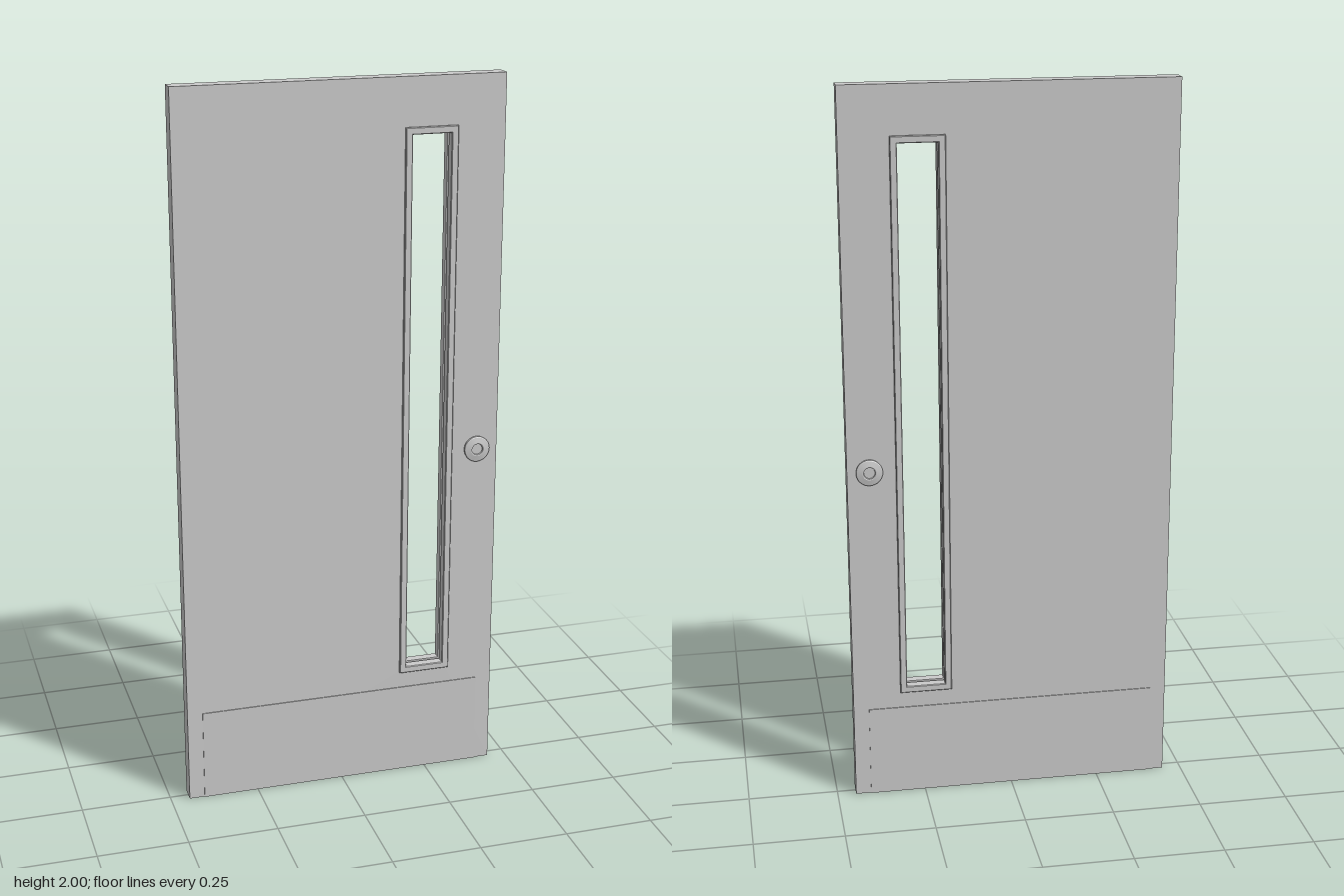
import * as THREE from 'three';

const material = new THREE.MeshStandardMaterial({ color: 0xcccccc });

// Outline of a rectangle from its edges, as a Shape or a Path
function rect(Kind, x0, x1, y0, y1) {
  const p = new Kind();
  p.moveTo(x0, y0);
  p.lineTo(x1, y0);
  p.lineTo(x1, y1);
  p.lineTo(x0, y1);
  p.closePath();
  return p;
}

function addMesh(parent, name, geometry) {
  const mesh = new THREE.Mesh(geometry, material);
  mesh.name = name;
  parent.add(mesh);
  return mesh;
}

export function createModel() {
  const door = new THREE.Group();
  door.name = 'door';
  const slabHalf = 0.023;

  // Slab with a tall, narrow cut-out for the window
  const slab = rect(THREE.Shape, -0.448, 0.448, 0, 2);
  slab.holes.push(rect(THREE.Path, 0.182, 0.305, 0.32, 1.858));
  const slabGeo = new THREE.ExtrudeGeometry(slab, { depth: slabHalf * 2, bevelEnabled: false });
  slabGeo.translate(0, 0, -slabHalf);
  addMesh(door, 'slab', slabGeo);

  // The same fittings on both faces
  for (const side of [1, -1]) {
    const face = side > 0 ? 'front' : 'back';

    // Window trim: flat surround plus a lining that enters the cut-out
    const surround = rect(THREE.Shape, 0.173, 0.314, 0.311, 1.867);
    surround.holes.push(rect(THREE.Path, 0.188, 0.299, 0.326, 1.852));
    const surroundGeo = new THREE.ExtrudeGeometry(surround, {
      depth: 0.006, bevelEnabled: true, bevelThickness: 0.002, bevelSize: 0.002, bevelSegments: 1,
    });
    surroundGeo.translate(0, 0, side > 0 ? slabHalf : -slabHalf - 0.006);
    addMesh(door, face + 'WindowTrim', surroundGeo);

    const lining = rect(THREE.Shape, 0.182, 0.305, 0.32, 1.858);
    lining.holes.push(rect(THREE.Path, 0.19, 0.297, 0.328, 1.85));
    const liningGeo = new THREE.ExtrudeGeometry(lining, { depth: 0.018, bevelEnabled: false });
    liningGeo.translate(0, 0, side > 0 ? 0.005 : -0.023);
    addMesh(door, face + 'WindowLining', liningGeo);

    // Thin kick plate
    const plate = addMesh(door, face + 'KickPlate', new THREE.BoxGeometry(0.81, 0.262, 0.003));
    plate.position.set(0, 0.131, side * (slabHalf + 0.001));

    // Round lock: chamfered collar with a sunken centre
    const rings = [[0.0355, 0], [0.0365, 0.008], [0.034, 0.0105], [0.019, 0.0135], [0.016, 0.0125], [0.015, 0.008], [0, 0.008]];
    const lock = new THREE.Group();
    lock.name = face + 'Lock';
    // One lathe per ring keeps the edges between them sharp
    for (let i = 0; i < rings.length - 1; i++) {
      const pts = [rings[i], rings[i + 1]].map(([r, h]) => new THREE.Vector2(r, h));
      addMesh(lock, 'lockRing', new THREE.LatheGeometry(pts, 32));
    }
    lock.rotation.x = side * Math.PI / 2;
    lock.position.set(0.388, 0.968, side * slabHalf);
    door.add(lock);
  }

  return door;
}
